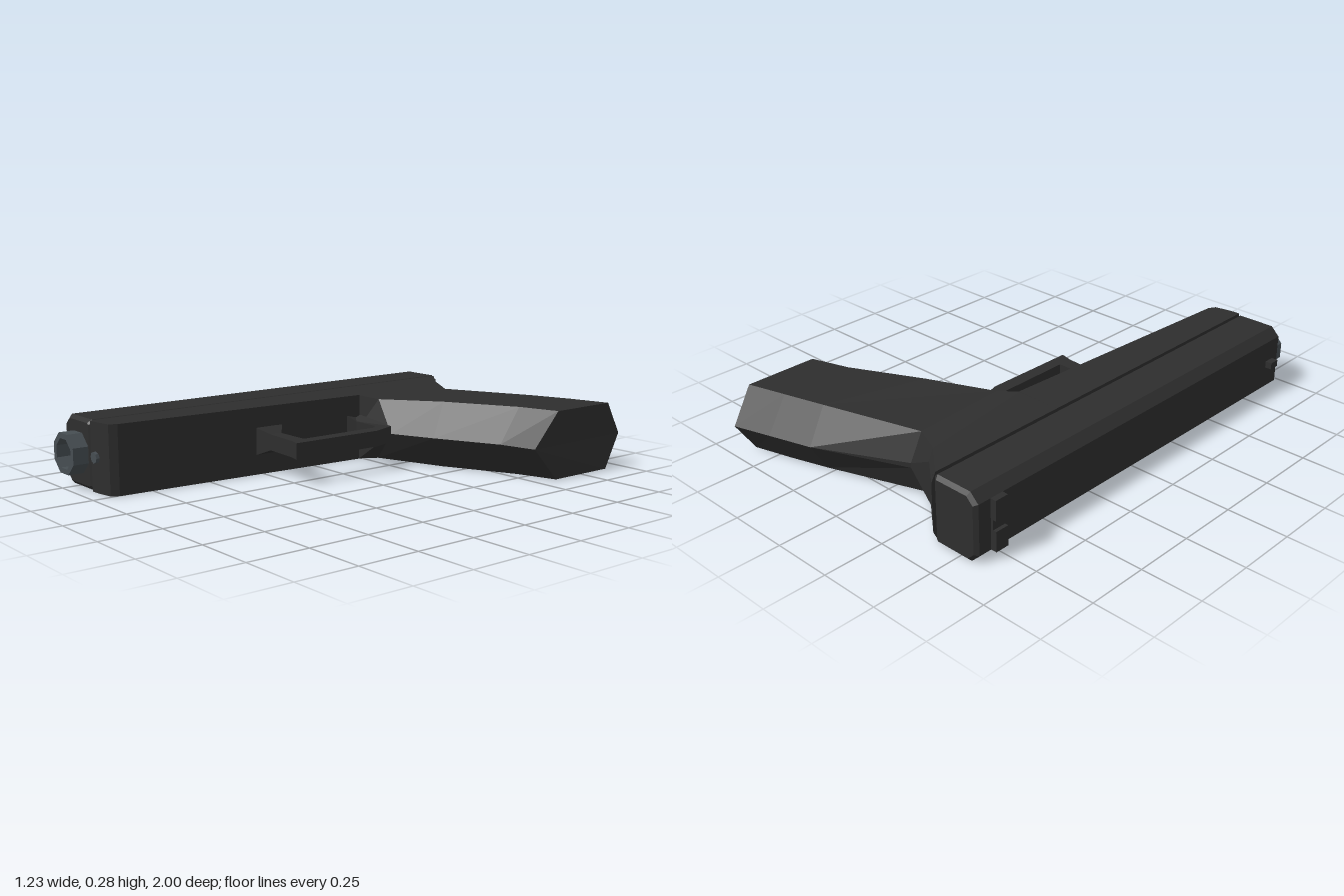
import * as THREE from 'three';

const MID = 0.139; // half of the total thickness

export function createModel() {
  const model = new THREE.Group();
  const darkBody = new THREE.MeshStandardMaterial({ color: 0x2e2e2e, flatShading: true });
  darkBody.name = 'darkBody';
  const steel = new THREE.MeshStandardMaterial({ color: 0x464d52, flatShading: true });
  steel.name = 'steel';

  const add = (name, geometry, material = darkBody) => {
    const mesh = new THREE.Mesh(geometry, material);
    mesh.name = name;
    model.add(mesh);
    return mesh;
  };
  const box = (name, x0, x1, y0, y1, z0, z1) =>
    add(name, new THREE.BoxGeometry(x1 - x0, y1 - y0, z1 - z0))
      .position.set((x0 + x1) / 2, (y0 + y1) / 2, (z0 + z1) / 2);
  const shapeOf = (pts) => new THREE.Shape(pts.map(([a, b]) => new THREE.Vector2(a, b)));
  // Plate with an outline given as [x, z], centred on the middle height
  const plate = (pts, height) =>
    new THREE.ExtrudeGeometry(shapeOf(pts.map(([x, z]) => [x, -z])), { depth: height, bevelEnabled: false })
      .rotateX(-Math.PI / 2).translate(0, MID - height / 2, 0);

  // Slide: chamfered bar with bevelled ends
  const b = 0.014;
  const slide = new THREE.ExtrudeGeometry(
    shapeOf([[-0.587, 0.036], [-0.55, 0], [-0.392, 0], [-0.379, 0.014],
      [-0.379, 0.264], [-0.392, 0.278], [-0.55, 0.278], [-0.587, 0.242]]),
    { depth: 1.805 - 2 * b, bevelEnabled: true, bevelSegments: 1, bevelSize: b, bevelThickness: b, bevelOffset: -b });
  add('slide', slide.translate(0, 0, -0.87 + b));

  // Rail filling the seam between slide and frame
  box('rail', -0.40, -0.36, 0.014, 0.264, -0.85, 0.92);

  // Barrel: octagonal muzzle with an open bore
  const ring = (r) => Array.from({ length: 8 }, (_, i) => {
    const a = (i + 0.5) * Math.PI / 4;
    return new THREE.Vector2(-0.478 + r * Math.cos(a), 0.14 + r * Math.sin(a));
  });
  const muzzle = new THREE.Shape(ring(0.086));
  muzzle.holes.push(new THREE.Path(ring(0.063)));
  add('barrel', new THREE.ExtrudeGeometry(muzzle, { depth: 0.09, bevelEnabled: false }).translate(0, 0, 0.91), steel);

  // Guide rod tip below the barrel
  add('guideRod', new THREE.CylinderGeometry(0.023, 0.023, 0.05, 8).rotateX(Math.PI / 2), steel)
    .position.set(-0.34, 0.14, 0.92);

  // Front part of the frame
  add('frame', plate([[-0.375, 0.935], [-0.33, 0.933], [-0.262, 0.92], [-0.245, 0.89],
    [-0.18, -0.236], [-0.375, -0.236]], 0.278));

  // Grip sections: front ridge, front edge, back edge, back ridge as [x, z],
  // then half thickness and half width of the flat back
  const sections = [
    [[-0.375, -0.235], [-0.375, -0.235], [-0.375, -0.85], [-0.372, -0.868], 0.139, 0.10],
    [[-0.18, -0.235], [-0.18, -0.235], [-0.25, -0.745], [-0.25, -0.766], 0.138, 0.09],
    [[0.02, -0.24], [-0.10, -0.275], [-0.12, -0.682], [-0.11, -0.73], 0.127, 0.01],
    [[0.20, -0.315], [0.16, -0.405], [0.28, -0.81], [0.26, -0.90], 0.137, 0],
    [[0.46, -0.435], [0.45, -0.55], [0.45, -0.86], [0.44, -0.953], 0.139, 0],
    [[0.613, -0.47], [0.613, -0.60], [0.613, -0.905], [0.597, -1.0], 0.139, 0],
  ].map(([fr, fe, be, br, h, w]) => [[fr, 0], [fe, h], [be, h], [br, w], [br, -w], [be, -h], [fe, -h]]
    .map(([[x, z], dy]) => [x, MID + dy, z]));
  const tris = [];
  const n = 7;
  for (let i = 0; i < sections.length - 1; i++) {
    for (let j = 0; j < n; j++) {
      const k = (j + 1) % n;
      const [p, q] = [sections[i], sections[i + 1]];
      tris.push(p[j], q[j], q[k], p[j], q[k], p[k]);
    }
  }
  const first = sections[0];
  const last = sections[sections.length - 1];
  for (let j = 1; j < n - 1; j++) {
    tris.push(first[0], first[j], first[j + 1], last[0], last[j + 1], last[j]);
  }
  const grip = new THREE.BufferGeometry();
  grip.setAttribute('position', new THREE.Float32BufferAttribute(tris.flat(), 3));
  grip.computeVertexNormals();
  add('grip', grip);

  // Guard loop, flared where it meets the frame
  const guard = plate([[-0.21, -0.24], [0.02, -0.24], [0.058, -0.13], [0.052, 0.275], [0.0, 0.262],
    [-0.155, 0.25], [-0.205, 0.285], [-0.205, 0.155], [-0.15, 0.20], [0.0, 0.20],
    [0.0, -0.165], [-0.025, -0.192], [-0.155, -0.198], [-0.185, -0.17], [-0.21, -0.17]], 0.066);
  const pos = guard.attributes.position;
  for (let i = 0; i < pos.count; i++) {
    if (pos.getX(i) < -0.16) pos.setY(i, MID + Math.sign(pos.getY(i) - MID) * 0.056);
  }
  guard.computeVertexNormals();
  add('triggerGuard', guard);

  // Sights
  box('frontSight', -0.615, -0.575, 0.126, 0.154, 0.84, 0.885);
  box('rearSightBase', -0.597, -0.575, 0.036, 0.242, -0.80, -0.742);
  for (const s of [-1, 1]) {
    const y = MID + s * 0.062;
    box('rearSightPost', -0.612, -0.58, y - 0.041, y + 0.041, -0.80, -0.742);
  }

  return model;
}
